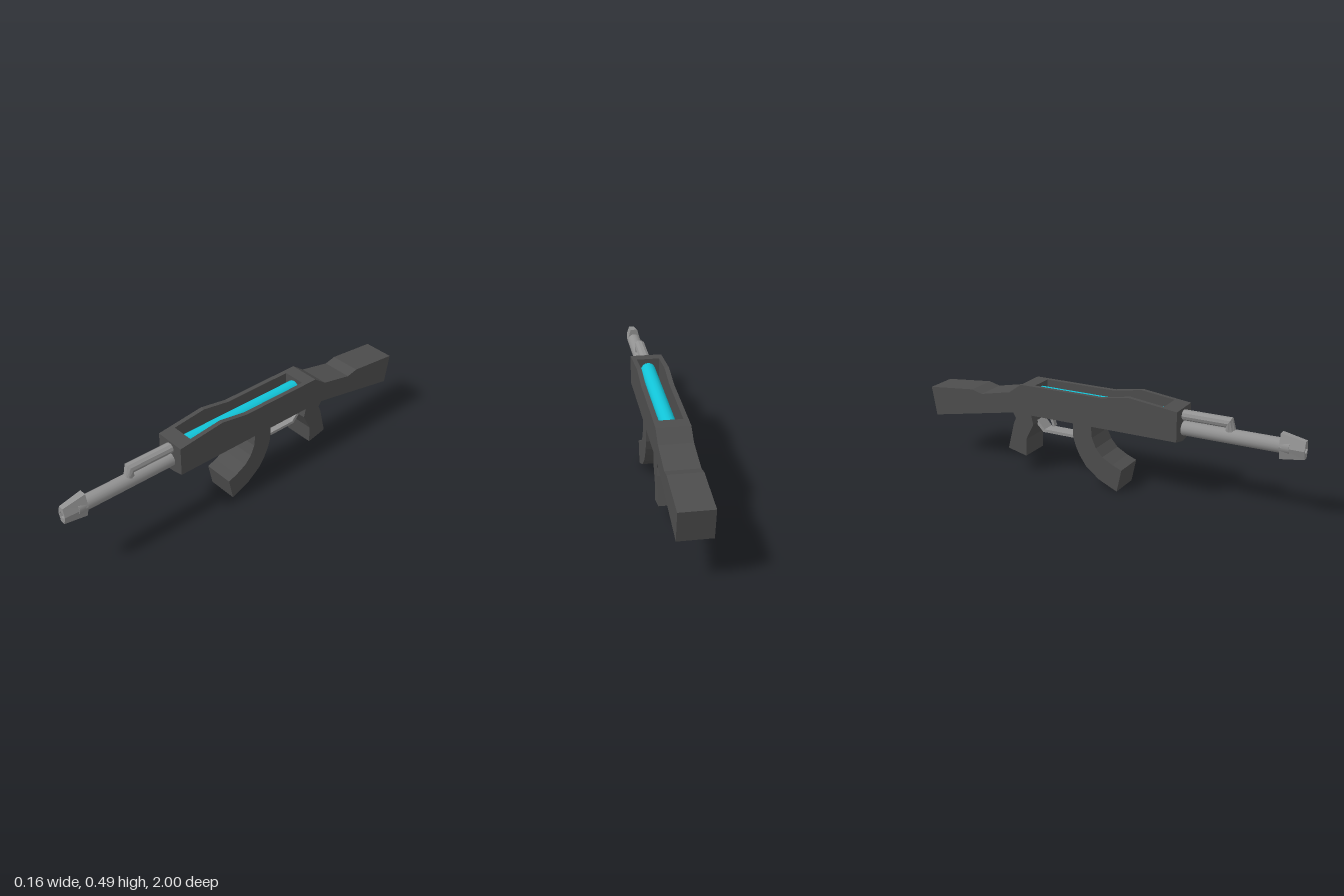
import * as THREE from 'three';

const HALF = 0.08;   // half width of the body
const SLOT = 0.057;  // half width of the top slot

const material = (color, flatShading = true) =>
  new THREE.MeshStandardMaterial({ color, flatShading, side: THREE.DoubleSide });

// Extrude a side profile of [z, y] points across the width from x0 to x1
function sideExtrude(name, points, x0, x1, mat) {
  const shape = new THREE.Shape(points.map(([z, y]) => new THREE.Vector2(z, y)));
  const geo = new THREE.ExtrudeGeometry(shape, { depth: x1 - x0, bevelEnabled: false });
  geo.rotateY(-Math.PI / 2).translate(x1, 0, 0);
  const mesh = new THREE.Mesh(geo, mat);
  mesh.name = name;
  return mesh;
}

// Skin rings from rear to front; each ring is a tilted ellipse
// { y, z: centre, rx, ry: radii, rz: lean along z }
function loft(name, rings, n, mat) {
  const pos = [], idx = [];
  for (const { y, z, rx, ry, rz = 0 } of rings) {
    for (let i = 0; i < n; i++) {
      const a = (i / n) * Math.PI * 2;
      pos.push(rx * Math.cos(a), y + ry * Math.sin(a), z + rz * Math.sin(a));
    }
  }
  const last = (rings.length - 1) * n;
  for (let r = 0; r < last; r += n) {
    for (let i = 0; i < n; i++) {
      const a = r + i, b = r + (i + 1) % n;
      idx.push(a, b, b + n, a, b + n, a + n);
    }
  }
  for (let i = 1; i < n - 1; i++) idx.push(0, i + 1, i, last, last + i, last + i + 1);
  const geo = new THREE.BufferGeometry();
  geo.setAttribute('position', new THREE.Float32BufferAttribute(pos, 3));
  geo.setIndex(idx);
  geo.computeVertexNormals();
  const mesh = new THREE.Mesh(geo, mat);
  mesh.name = name;
  return mesh;
}

function rod(name, r, z0, z1, y, mat) {
  const geo = new THREE.CylinderGeometry(r, r, z1 - z0, 16).rotateX(Math.PI / 2);
  const mesh = new THREE.Mesh(geo, mat);
  mesh.position.set(0, y, (z0 + z1) / 2);
  mesh.name = name;
  return mesh;
}

export function createModel() {
  const model = new THREE.Group();
  model.name = 'toyRifle';
  const dark = material(0x4d4d4d);
  const grey = material(0x929292);
  const greySmooth = material(0x929292, false);
  const cyan = material(0x12c4d8, false);

  // Body silhouette: receiver top, then stock, grip, magazine and underside
  const top = [[0.41, 0.46], [0.16, 0.49], [0.01, 0.465]];
  const slottedTop = [
    [0.41, 0.46], [0.335, 0.469], [0.335, 0.33], [-0.045, 0.33], [-0.06, 0.25],
    [-0.12, 0.25], [-0.13, 0.33], [-0.37, 0.33], [-0.37, 0.465],
  ];
  const rest = [
    [-0.44, 0.465], [-0.51, 0.415], [-0.68, 0.38], [-0.74, 0.395],
    [-1.0, 0.37], [-0.975, 0.22], [-0.55, 0.3], [-0.49, 0.31],
    [-0.475, 0.285], [-0.49, 0.25], [-0.525, 0.115], [-0.42, 0.09],
    [-0.417, 0.18], [-0.373, 0.265], [-0.383, 0.312],
    [-0.143, 0.312], [-0.142, 0.245], [-0.127, 0.195], [-0.105, 0.15], [-0.07, 0.1],
    [0, 0.045], [0.05, 0.022], [0.1, 0], [0.125, 0.115],
    [0.075, 0.135], [0.02, 0.165], [-0.015, 0.205], [-0.037, 0.255], [-0.042, 0.312],
    [0.41, 0.312],
  ];
  const body = new THREE.Group();
  body.name = 'body';
  body.add(
    sideExtrude('bodyCore', [...slottedTop, ...rest], -SLOT, SLOT, dark),
    sideExtrude('leftWall', [...top, ...rest], SLOT, HALF, dark),
    sideExtrude('rightWall', [...top, ...rest], -HALF, -SLOT, dark),
  );

  // Shallow keel under the handguard
  const keelShape = new THREE.Shape([
    [-HALF, 0.313], [-0.025, 0.3], [0, 0.297], [0.025, 0.3], [HALF, 0.313],
  ].map(([x, y]) => new THREE.Vector2(x, y)));
  const keel = new THREE.Mesh(
    new THREE.ExtrudeGeometry(keelShape, { depth: 0.45, bevelEnabled: false }), dark);
  keel.position.z = -0.04;
  keel.name = 'handguardKeel';
  body.add(keel);
  model.add(body);

  // Glowing core in the top slot
  model.add(rod('energyCore', 0.037, -0.37, 0.335, 0.41, cyan));

  // Trigger and its guard
  model.add(
    sideExtrude('triggerGuard', [
      [-0.13, 0.233], [-0.335, 0.233], [-0.375, 0.278], [-0.385, 0.262],
      [-0.343, 0.218], [-0.13, 0.218],
    ], -0.035, 0.035, grey),
    sideExtrude('trigger', [
      [-0.31, 0.315], [-0.288, 0.25], [-0.3, 0.246], [-0.327, 0.315],
    ], -0.012, 0.012, grey),
  );

  // Barrel, bent gas tube and flared muzzle with a recessed bore
  model.add(
    rod('barrel', 0.035, 0.4, 0.93, 0.36, greySmooth),
    loft('gasTube', [
      { y: 0.425, z: 0.4, rx: 0.028, ry: 0.025 },
      { y: 0.425, z: 0.638, rx: 0.028, ry: 0.025, rz: 0.014 },
      { y: 0.37, z: 0.645, rx: 0.024, ry: 0, rz: 0.03 },
    ], 10, grey),
    loft('muzzle', [
      { y: 0.361, z: 0.885, rx: 0.036, ry: 0.071 },
      { y: 0.357, z: 1, rx: 0.027, ry: 0.049 },
      { y: 0.357, z: 1, rx: 0.018, ry: 0.018 },
      { y: 0.357, z: 0.96, rx: 0.016, ry: 0.016 },
    ], 6, grey),
  );
  return model;
}
